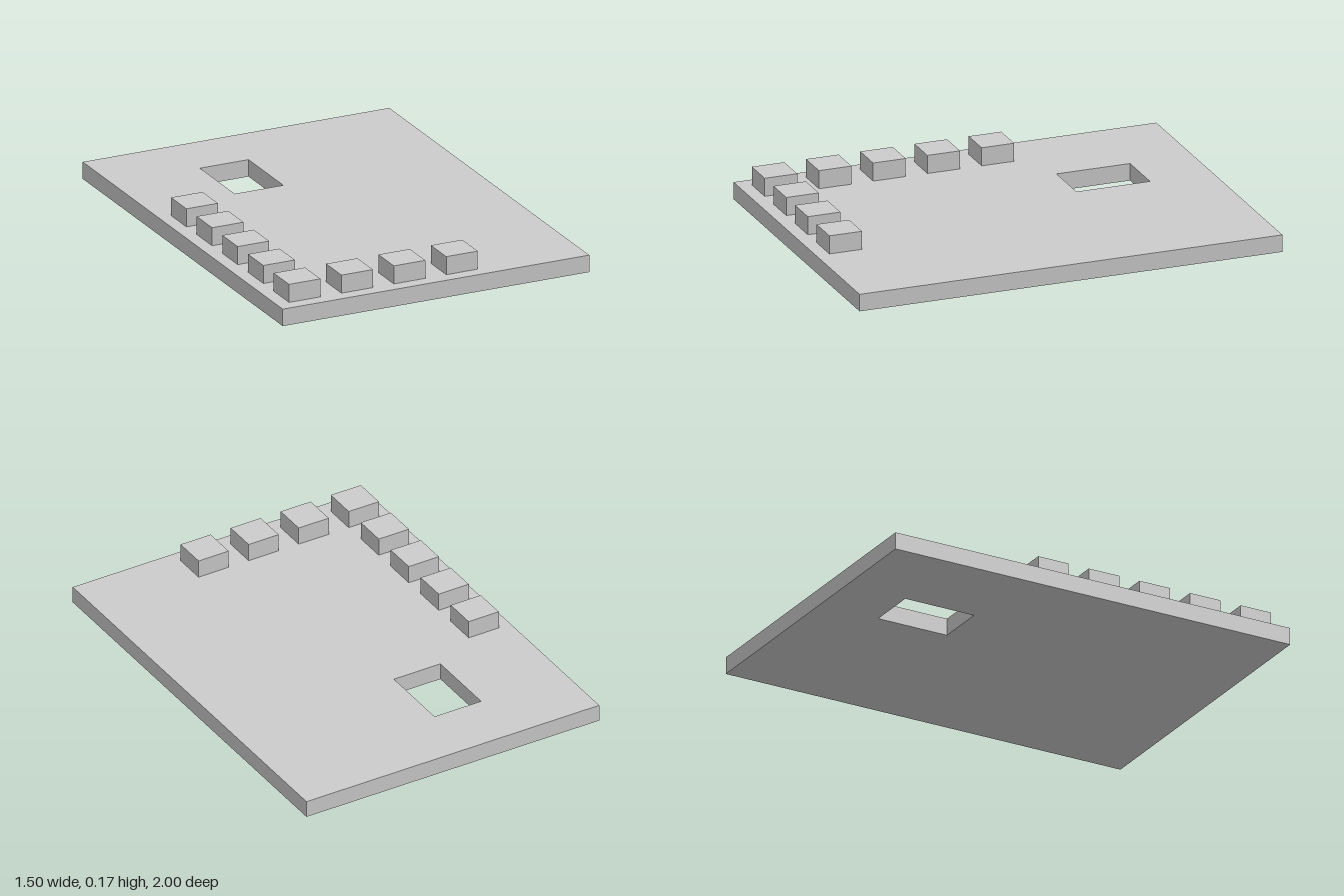
import * as THREE from 'three';

const material = new THREE.MeshStandardMaterial({ color: 0xcccccc, flatShading: true });

// Traces a rectangle in plan, with corners (x0, z0) and (x1, z1)
function rectangle(path, x0, z0, x1, z1) {
  path.moveTo(x0, z0);
  path.lineTo(x1, z0);
  path.lineTo(x1, z1);
  path.lineTo(x0, z1);
  path.closePath();
  return path;
}

export function createModel() {
  const model = new THREE.Group();
  const thickness = 0.08;

  // Flat base plate with a rectangular through-hole
  const outline = rectangle(new THREE.Shape(), -0.75, -1, 0.75, 1);
  outline.holes.push(rectangle(new THREE.Path(), -0.321, -0.705, -0.083, -0.357));
  const plateGeometry = new THREE.ExtrudeGeometry(outline, { depth: thickness, bevelEnabled: false });
  plateGeometry.rotateX(Math.PI / 2).translate(0, thickness, 0);
  const plate = new THREE.Mesh(plateGeometry, material);
  plate.name = 'basePlate';
  model.add(plate);

  // Raised blocks in an L: one row along the front, one along the right edge
  const size = 0.154, height = 0.085, pitch = 0.2565;
  const cornerX = -0.612, cornerZ = 0.861;
  const blockGeometry = new THREE.BoxGeometry(size, height, size);
  const addBlock = (name, x, z) => {
    const block = new THREE.Mesh(blockGeometry, material);
    block.name = name;
    block.position.set(x, thickness + height / 2, z);
    model.add(block);
  };
  addBlock('cornerBlock', cornerX, cornerZ);
  for (let i = 1; i <= 3; i++) addBlock(`frontBlock${i}`, cornerX + i * pitch, cornerZ);
  for (let i = 1; i <= 4; i++) addBlock(`sideBlock${i}`, cornerX, cornerZ - i * pitch);

  return model;
}
